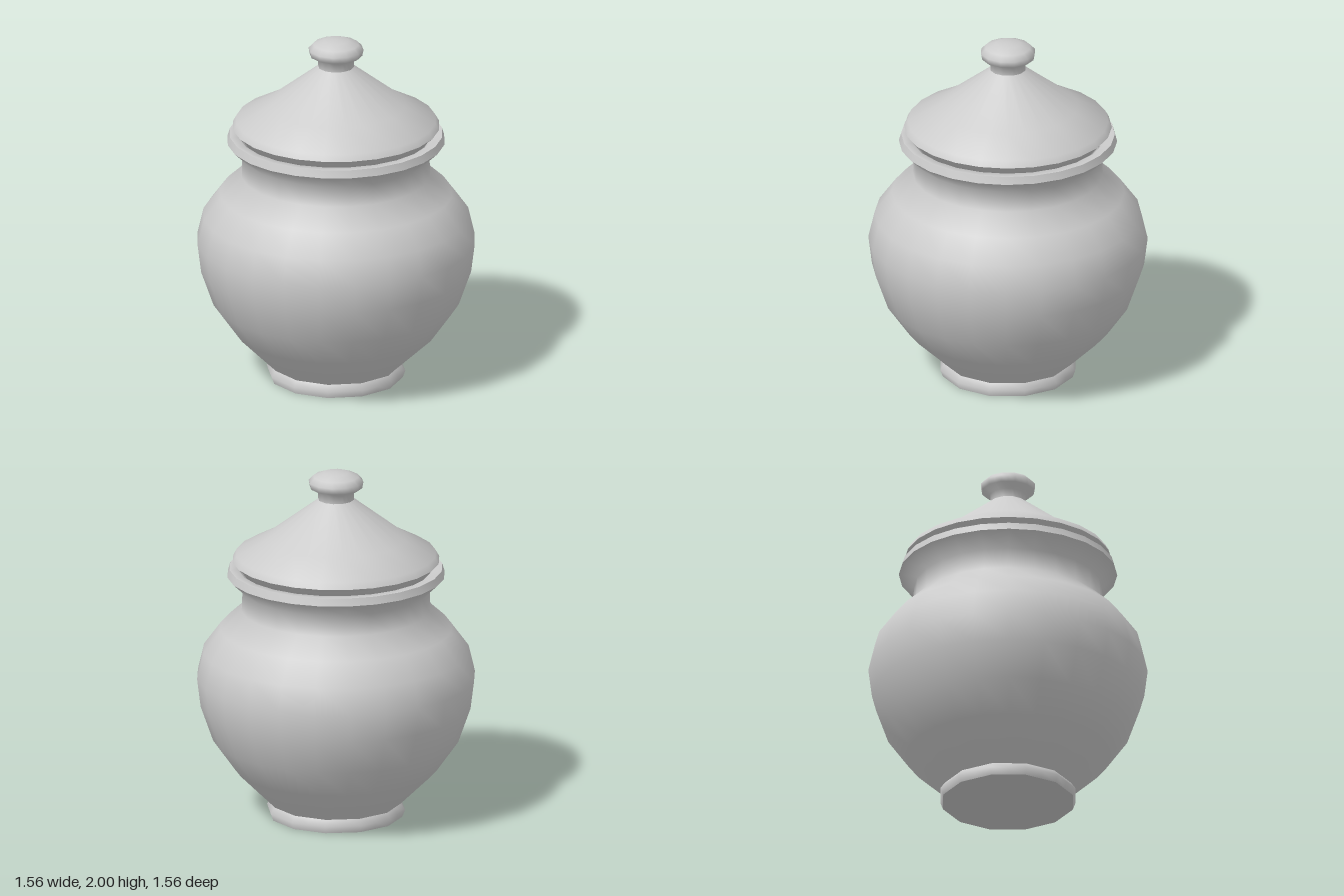
import * as THREE from 'three';
import { toCreasedNormals } from 'three/addons/utils/BufferGeometryUtils.js';

const SIDES = 24;

// Turned shape from [radius, y, coarse] rows, bottom to top.
// Coarse rings become 12-sided: every second vertex is pulled in to its chord.
function turned(name, profile, material) {
  const points = profile.map(([r, y]) => new THREE.Vector2(r, y));
  const geometry = new THREE.LatheGeometry(points, SIDES);
  const pos = geometry.attributes.position;
  const pull = Math.cos((Math.PI * 2) / SIDES);
  for (let i = 0; i < pos.count; i++) {
    const column = Math.floor(i / profile.length);
    if (profile[i % profile.length][2] && column % 2 === 1) {
      pos.setX(i, pos.getX(i) * pull);
      pos.setZ(i, pos.getZ(i) * pull);
    }
  }
  const mesh = new THREE.Mesh(toCreasedNormals(geometry, THREE.MathUtils.degToRad(62)), material);
  mesh.name = name;
  return mesh;
}

export function createModel() {
  const group = new THREE.Group();
  group.name = 'liddedJar';
  const material = new THREE.MeshStandardMaterial({ color: 0xcccccc, side: THREE.DoubleSide });

  // Foot, belly, neck and flared rim
  group.add(turned('jarBody', [
    [0, 0, true], [0.375, 0, true], [0.39, 0.04, true], [0.365, 0.075, true],
    [0.57, 0.28], [0.69, 0.45], [0.76, 0.65], [0.78, 0.81], [0.745, 0.96],
    [0.65, 1.09], [0.53, 1.2], [0.525, 1.32], [0.61, 1.4], [0.597, 1.443],
    [0.55, 1.443], [0.53, 1.42],
  ], material));

  // Conical lid with a rounded lip and a seat inside the rim
  group.add(turned('lid', [
    [0, 1.43], [0.53, 1.43], [0.55, 1.462], [0.567, 1.475], [0.58, 1.487],
    [0.56, 1.523], [0.39, 1.615], [0.1, 1.84, true],
  ], material));

  // Knob with a short stem
  group.add(turned('knob', [
    [0.1, 1.835, true], [0.103, 1.885, true], [0.148, 1.91, true], [0.155, 1.945, true],
    [0.128, 1.973, true], [0.07, 1.995, true], [0, 2, true],
  ], material));

  return group;
}
